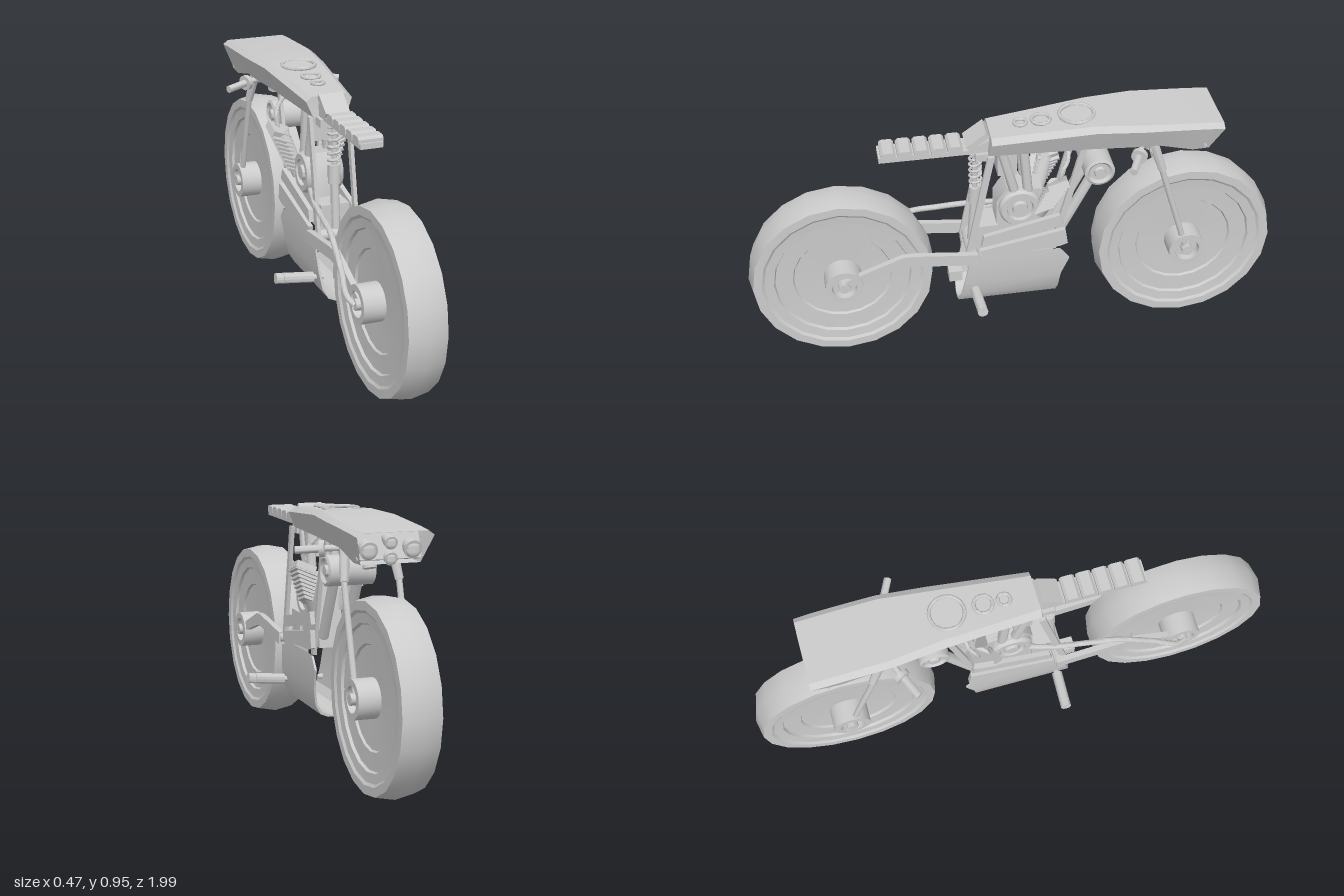
import * as THREE from 'three';
import { toCreasedNormals } from 'three/addons/utils/BufferGeometryUtils.js';

const mat = new THREE.MeshStandardMaterial({ color: 0xcccccc, side: THREE.DoubleSide });
const V = (p) => new THREE.Vector3(...p);

export function createModel() {
  const root = new THREE.Group();

  const add = (name, geo, crease = 0.6, parent = root) => {
    const m = new THREE.Mesh(toCreasedNormals(geo, crease), mat);
    m.name = name;
    parent.add(m);
    return m;
  };
  const box = (name, size, pos, rot = [0, 0, 0]) => {
    const m = add(name, new THREE.BoxGeometry(...size));
    m.position.set(...pos);
    m.rotation.set(...rot);
    return m;
  };
  // Straight round bar between two points, optionally tapered
  const rod = (name, a, b, r, r2 = r, sides = 12) => {
    const A = V(a), B = V(b), d = B.clone().sub(A);
    const m = add(name, new THREE.CylinderGeometry(r2, r, d.length(), sides));
    m.position.copy(A).add(B).multiplyScalar(0.5);
    m.quaternion.setFromUnitVectors(new THREE.Vector3(0, 1, 0), d.normalize());
    return m;
  };
  const tube = (name, pts, r, n = 32) =>
    add(name, new THREE.TubeGeometry(new THREE.CatmullRomCurve3(pts.map(V)), n, r, 8), 1);
  // Turned part about the x axis; profile is [radius, x]
  const turned = (name, profile, sides, pos) => {
    const g = new THREE.LatheGeometry(profile.map(([r, x]) => new THREE.Vector2(r, x)), sides);
    g.rotateZ(-Math.PI / 2);
    const m = add(name, g, 0.5);
    m.position.set(...pos);
    return m;
  };
  // Side outline [z, y] extruded across x
  const plate = (name, outline, x, t) => {
    const g = new THREE.ExtrudeGeometry(new THREE.Shape(outline.map(([z, y]) => new THREE.Vector2(-z, y))),
      { depth: t, bevelEnabled: false });
    g.rotateY(Math.PI / 2).translate(x - t / 2, 0, 0);
    return add(name, g);
  };
  // Skin through equal rows of points
  const loft = (name, rows, capEnd = false) => {
    const n = rows[0].length, pos = rows.flat(2), idx = [];
    for (let i = 0; i < rows.length - 1; i++)
      for (let j = 0; j < n - 1; j++) {
        const a = i * n + j, b = a + n;
        idx.push(a, b, a + 1, a + 1, b, b + 1);
      }
    if (capEnd) for (let j = 1; j < n - 1; j++) idx.push(0, j, j + 1);
    const g = new THREE.BufferGeometry();
    g.setAttribute('position', new THREE.Float32BufferAttribute(pos, 3));
    g.setIndex(idx);
    return add(name, g, 0.45);
  };
  const sides = [1, -1];

  // Wheels: crowned tyre, stepped disc, cup-shaped hubs and axle
  const half = [[0.04, 0.035], [0.18, 0.04], [0.185, 0.048], [0.25, 0.05], [0.255, 0.06],
    [0.29, 0.063], [0.3, 0.07], [0.332, 0.07]];
  const wheelProfile = [...half.map(([r, x]) => [r, -x]), [0.346, 0], ...half.slice().reverse()];
  for (const [label, z] of [['rear', 0.65], ['front', -0.65]]) {
    const c = [0, 0.352, z];
    turned(label + 'Wheel', wheelProfile, 20, c);
    for (const s of sides)
      turned(label + 'Hub', [[0.07, 0.03], [0.07, 0.117], [0.047, 0.117], [0.045, 0.09], [0.02, 0.09]]
        .map(([r, x]) => [r, x * s]), 24, c);
    rod(label + 'Axle', [-0.124, 0.352, z], [0.124, 0.352, z], 0.021);
  }

  // Tank: [z top, z bottom, y top, y shoulder, y bottom, w top, w shoulder, w bottom]
  const stations = [
    [0.09, 0.1, 0.918, 0.9, 0.842, 0.065, 0.088, 0.065],
    [-0.28, -0.28, 0.946, 0.93, 0.845, 0.095, 0.12, 0.09],
    [-0.45, -0.43, 0.943, 0.927, 0.845, 0.115, 0.137, 0.105],
    [-0.56, -0.51, 0.936, 0.922, 0.845, 0.116, 0.138, 0.108],
    [-0.68, -0.64, 0.929, 0.915, 0.812, 0.116, 0.138, 0.108],
    [-0.746, -0.7, 0.923, 0.908, 0.812, 0.116, 0.136, 0.106],
  ];
  loft('tank', stations.map(([zt, zb, yt, ys, yb, wt, ws, wb]) => [
    [wb, yb, zb], [ws, ys, zt], [wt, yt, zt], [-wt, yt, zt], [-ws, ys, zt], [-wb, yb, zb], [wb, yb, zb]]), true);
  box('headlightPanel', [0.23, 0.09, 0.01], [0, 0.866, -0.67], [0.4, 0, 0]);
  for (const [z, r, y] of [[-0.23, 0.062, 0.945], [-0.1, 0.033, 0.936], [-0.025, 0.022, 0.931]]) {
    const ring = add('fillerRing', new THREE.TorusGeometry(r, 0.007, 8, 28), 1);
    ring.position.set(0, y, z);
    ring.rotation.x = Math.PI / 2;
  }
  // Headlights in the nose recess
  for (const [x, y, r] of [[0.078, 0.868, 0.032], [-0.078, 0.868, 0.032], [0, 0.892, 0.023], [0, 0.84, 0.023]]) {
    rod('headlight', [x, y, -0.66], [x, y - 0.012, -0.705], r * 0.8, r, 20);
    const lens = add('headlightLens', new THREE.SphereGeometry(r * 0.85, 16, 10), 1);
    lens.position.set(x, y - 0.012, -0.704);
    lens.scale.z = 0.4;
  }

  // Seat: base and padded ribs, the last one rising to the tank
  plate('seatBase', [[0.49, 0.842], [0.08, 0.842], [0.08, 0.9], [0.17, 0.858], [0.49, 0.862]], 0, 0.084);
  for (let i = 0; i < 5; i++) {
    const z = 0.455 - i * 0.06;
    plate('seatPad', [[z - 0.027, 0.856], [z - 0.027, 0.874], [z - 0.018, 0.883], [z + 0.018, 0.883],
      [z + 0.027, 0.874], [z + 0.027, 0.856]], 0, 0.092);
  }
  box('seatRisePad', [0.092, 0.024, 0.09], [0, 0.893, 0.135], [0.62, 0, 0]);

  for (const s of sides) {
    // Handlebars and forks
    rod('handlebar', [s * 0.05, 0.838, -0.47], [s * 0.15, 0.833, -0.43], 0.011);
    rod('handGrip', [s * 0.135, 0.834, -0.435], [s * 0.227, 0.826, -0.392], 0.014);
    rod('gripFlange', [s * 0.135, 0.834, -0.437], [s * 0.151, 0.833, -0.429], 0.029, 0.029, 18);
    rod('upperFork', [s * 0.085, 0.85, -0.495], [s * 0.1, 0.73, -0.535], 0.019, 0.015);
    rod('lowerFork', [s * 0.1, 0.74, -0.53], [s * 0.1, 0.352, -0.648], 0.011);

    // Frame side bars and slats
    plate('rearFrameBar', [[0.105, 0.845], [0.08, 0.845], [0.17, 0.4], [0.195, 0.4]], s * 0.075, 0.014);
    plate('frontFrameBar', [[-0.235, 0.845], [-0.258, 0.845], [-0.15, 0.4], [-0.125, 0.4]], s * 0.07, 0.014);
    plate('upperSlat', [[0.125, 0.5], [-0.16, 0.565], [-0.175, 0.52], [0.135, 0.455]], s * 0.085, 0.018);
    plate('lowerSlat', [[0.14, 0.44], [-0.18, 0.5], [-0.19, 0.435], [-0.16, 0.425], [0.13, 0.405]], s * 0.09, 0.018);

    // Swingarm: bent arm joining the pivot to the hub
    plate('swingarm', [[0.65, 0.34], [0.65, 0.372], [0.43, 0.458], [0.38, 0.458], [0.15, 0.432],
      [0.15, 0.385], [0.39, 0.412], [0.43, 0.41]], s * 0.1, 0.022);

    // Foot pegs
    rod('pegStem', [s * 0.05, 0.243, 0.16], [s * 0.1, 0.248, 0.16], 0.01);
    rod('footPeg', [s * 0.09, 0.247, 0.16], [s * 0.205, 0.258, 0.155], 0.02);
    rod('pegEnd', [s * 0.207, 0.258, 0.155], [s * 0.234, 0.261, 0.154], 0.02);

    // Finned cylinders leaning outward, fins lengthening towards the top
    for (let i = 0; i < 8; i++) {
      const t = i / 7;
      box('cylinderFin', [0.035 + 0.05 * t, 0.011, 0.075 + 0.015 * t],
        [s * (0.088 + 0.022 * t), 0.6 + 0.105 * t, -0.1 - 0.04 * t], [0.3, 0, s * 0.42]);
    }
    rod('cylinderCore', [s * 0.05, 0.56, -0.09], [s * 0.105, 0.715, -0.14], 0.026, 0.032);
    box('cylinderHead', [0.075, 0.025, 0.075], [s * 0.112, 0.722, -0.145], [0.3, 0, s * 0.42]);
    tube('intakePipe', [[s * 0.11, 0.72, -0.15], [s * 0.115, 0.78, -0.16], [s * 0.1, 0.81, -0.18], [s * 0.07, 0.845, -0.19]], 0.008);
    turned('crankcaseCover', [[0.078, 0], [0.078, s * 0.06], [0.07, s * 0.072], [0.05, s * 0.072],
      [0.046, s * 0.06], [0.03, s * 0.06], [0.026, s * 0.074], [0, s * 0.074]], 28, [0, 0.595, -0.015]);
    // Slanted struts beneath the tank
    rod('tankStrut', [s * 0.045, 0.845, 0.05], [s * 0.045, 0.65, 0.0], 0.018);
    rod('tankStrut', [s * 0.045, 0.845, -0.03], [s * 0.045, 0.62, -0.05], 0.018);
    rod('oilPipe', [s * 0.045, 0.69, -0.28], [s * 0.045, 0.47, -0.17], 0.019);
    // Oil drum end face
    turned('oilDrumEnd', [[0.056, 0], [0.056, s * 0.085], [0.046, s * 0.09], [0.036, s * 0.08],
      [0.022, s * 0.08], [0.018, s * 0.09], [0, s * 0.09]], 24, [0, 0.735, -0.305]);
  }
  rod('forkYoke', [-0.1, 0.825, -0.5], [0.1, 0.825, -0.5], 0.018);
  rod('steeringStem', [0, 0.77, -0.515], [0, 0.85, -0.49], 0.025);

  // Engine block and lower cross member
  plate('engineBlock', [[0.07, 0.42], [0.07, 0.62], [0.03, 0.68], [-0.1, 0.66], [-0.13, 0.42]], 0, 0.09);
  box('gearbox', [0.11, 0.1, 0.09], [0, 0.47, 0.11]);
  rod('swingarmPivot', [-0.105, 0.41, 0.165], [0.105, 0.41, 0.165], 0.022);
  box('shockMount', [0.11, 0.03, 0.05], [0, 0.83, 0.12]);
  box('airBox', [0.1, 0.1, 0.07], [0, 0.79, 0.03]);

  // Central shock absorber
  const coil = [];
  for (let i = 0; i <= 72; i++) {
    const a = (i / 12) * Math.PI * 2;
    coil.push([0.021 * Math.cos(a), 0.825 - 0.15 * i / 72, 0.14 + 0.021 * Math.sin(a)]);
  }
  tube('shockSpring', coil, 0.005, 144);
  rod('shockRod', [0, 0.83, 0.14], [0, 0.6, 0.145], 0.01);
  rod('shockBody', [0, 0.67, 0.14], [0, 0.6, 0.145], 0.024);
  rod('shockLink', [0, 0.61, 0.145], [0, 0.43, 0.16], 0.016);

  // Exhaust line along the right side
  tube('exhaustPipe', [[-0.05, 0.55, 0.02], [-0.08, 0.535, 0.15], [-0.095, 0.52, 0.28], [-0.105, 0.505, 0.38],
    [-0.122, 0.43, 0.52], [-0.138, 0.37, 0.62], [-0.122, 0.352, 0.655]], 0.011, 40);

  // Belly pan: U-shaped trough, open at both ends
  const trough = (zAt, inset) => {
    const row = [];
    const section = [[0.088, 0.4], [0.088, 0.355], [0.082, 0.28], [0.072, 0.215], [0.05, 0.177], [0.02, 0.165]];
    for (const [x, y] of section) row.push([x - inset, y + (y < 0.2 ? inset : 0), zAt(y)]);
    return [...row, ...row.map(([x, y, z]) => [-x, y, z]).reverse()];
  };
  const rearZ = (y) => 0.222 - (y - 0.165) * 0.2;
  const frontZ = (y) => (y > 0.36 ? -0.165 : y > 0.3 ? -0.2 : -0.155 - (y - 0.165) * 0.13);
  loft('bellyPan', [trough(rearZ, 0.008), trough(rearZ, 0), trough(frontZ, 0), trough(frontZ, 0.008), trough(rearZ, 0.008)]);
  box('tailOutlet', [0.05, 0.045, 0.05], [0, 0.272, 0.225]);

  return root;
}
